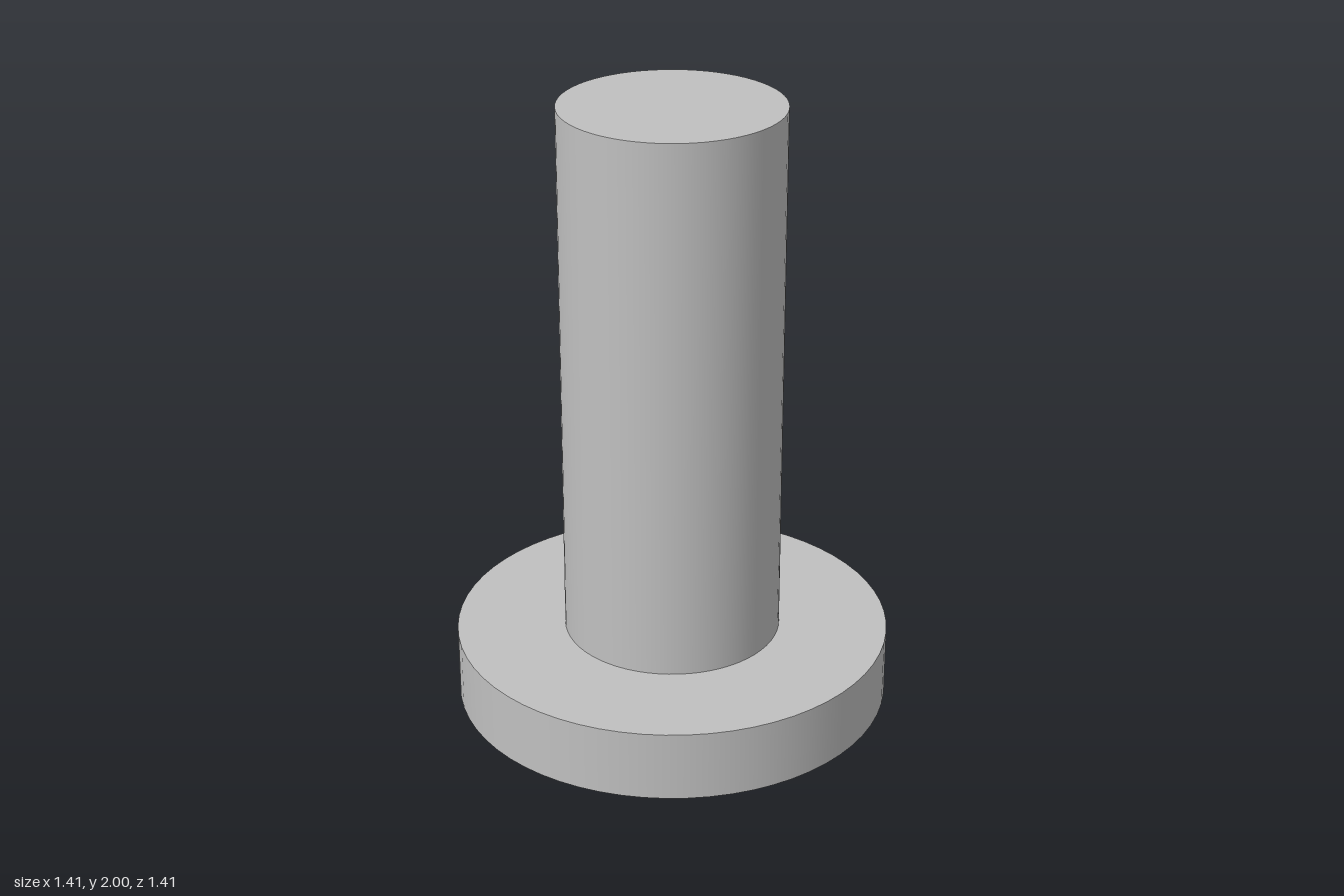
import * as THREE from 'three';

const SEGMENTS = 64;
const HEAD_RADIUS = 0.705, HEAD_HEIGHT = 0.23;
const SHAFT_RADIUS = 0.352, TOTAL_HEIGHT = 2;
const SOCKET_RADIUS = 0.253, SOCKET_DEPTH = 0.172;

export function createModel() {
  const model = new THREE.Group();
  model.name = 'socketHeadPin';

  const steel = new THREE.MeshStandardMaterial({ color: 0xc0c0c0 });
  steel.name = 'steel grey';

  const add = (parent, name, geometry, y = 0) => {
    const mesh = new THREE.Mesh(geometry, steel);
    mesh.name = name;
    mesh.position.y = y;
    parent.add(mesh);
  };

  // Plain round shaft standing on the head
  const shaftHeight = TOTAL_HEIGHT - HEAD_HEIGHT;
  add(model, 'shaft',
    new THREE.CylinderGeometry(SHAFT_RADIUS, SHAFT_RADIUS, shaftHeight, SEGMENTS),
    HEAD_HEIGHT + shaftHeight / 2);

  // Flat disc head: rim, shoulder and underside
  const head = new THREE.Group();
  head.name = 'head';
  model.add(head);
  add(head, 'headRim',
    new THREE.CylinderGeometry(HEAD_RADIUS, HEAD_RADIUS, HEAD_HEIGHT, SEGMENTS, 1, true),
    HEAD_HEIGHT / 2);
  add(head, 'headShoulder',
    new THREE.RingGeometry(SHAFT_RADIUS, HEAD_RADIUS, SEGMENTS).rotateX(-Math.PI / 2),
    HEAD_HEIGHT);

  // Underside with a hexagonal opening
  const underside = new THREE.Shape().absarc(0, 0, HEAD_RADIUS, 0, Math.PI * 2);
  const hexagon = Array.from({ length: 6 }, (_, i) => new THREE.Vector2(
    SOCKET_RADIUS * Math.cos(i * Math.PI / 3),
    SOCKET_RADIUS * Math.sin(i * Math.PI / 3)));
  underside.holes.push(new THREE.Path(hexagon));
  add(head, 'headUnderside',
    new THREE.ShapeGeometry(underside, SEGMENTS).rotateX(Math.PI / 2));

  // Hexagonal socket: mirrored so its walls face inward
  const socket = new THREE.Group();
  socket.name = 'hexSocket';
  head.add(socket);
  const walls = new THREE.CylinderGeometry(
    SOCKET_RADIUS, SOCKET_RADIUS, SOCKET_DEPTH, 6, 1, true, Math.PI / 2)
    .scale(-1, 1, 1).toNonIndexed();
  walls.computeVertexNormals();
  add(socket, 'socketWalls', walls, SOCKET_DEPTH / 2);
  add(socket, 'socketFloor',
    new THREE.CircleGeometry(SOCKET_RADIUS, 6).rotateX(Math.PI / 2), SOCKET_DEPTH);

  return model;
}
